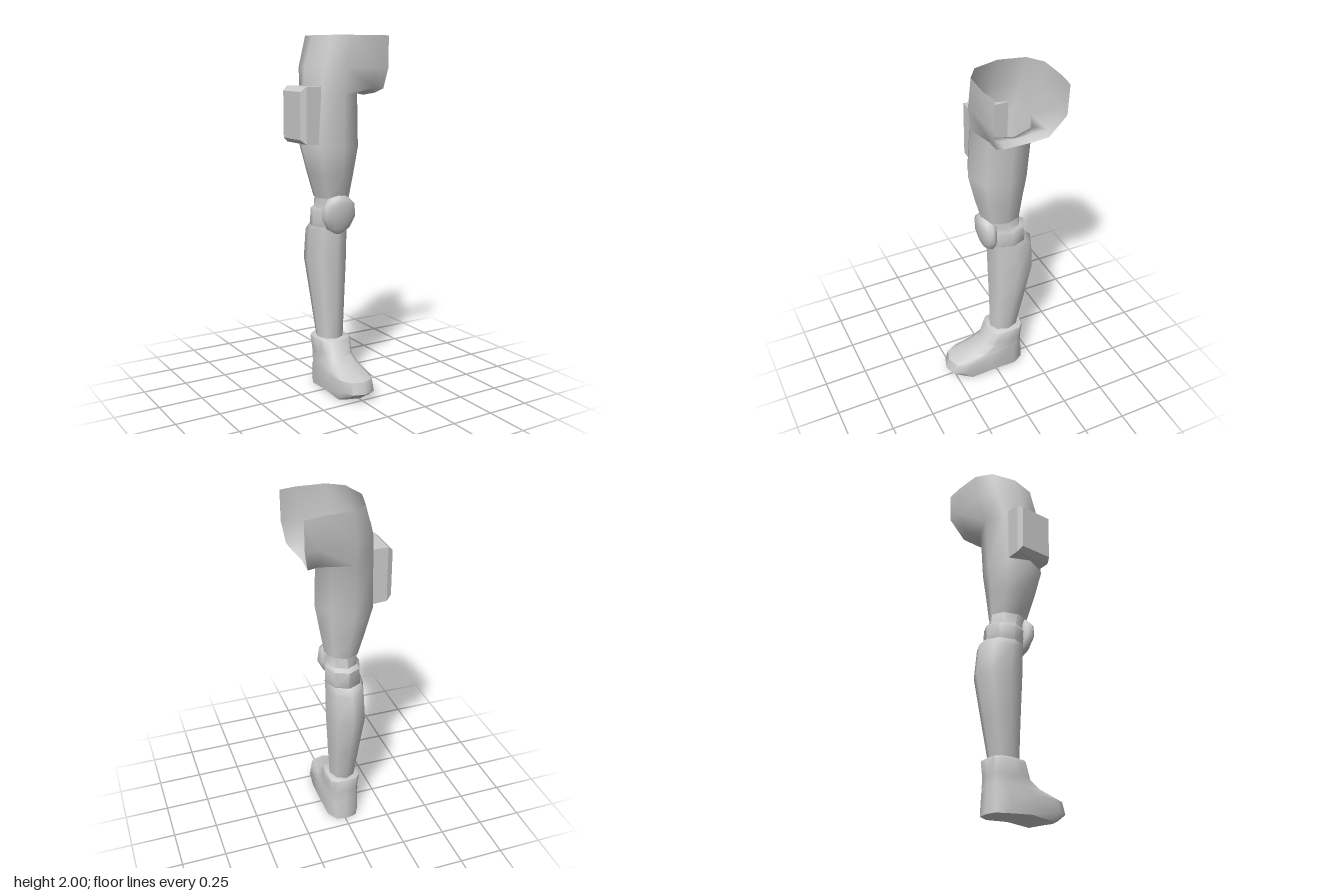
import * as THREE from 'three';
import { mergeGeometries, mergeVertices, toCreasedNormals } from 'three/addons/utils/BufferGeometryUtils.js';

const material = new THREE.MeshStandardMaterial({ color: 0xcccccc, side: THREE.DoubleSide });

// Elliptical ring between x0..x1 and z0..z1, counter-clockwise from the front
function ring([y, x0, x1, z0, z1], n = 8) {
  const points = [];
  for (let i = 0; i <= n; i++) {
    const t = ((i % n) / n) * Math.PI * 2;
    points.push([
      (x0 + x1) / 2 + ((x1 - x0) / 2) * Math.sin(t),
      y,
      (z0 + z1) / 2 + ((z1 - z0) / 2) * Math.cos(t),
    ]);
  }
  return points;
}

// Surface through rows of points of equal length
function skin(rows) {
  const n = rows[0].length;
  const index = [];
  for (let r = 0; r < rows.length - 1; r++) {
    for (let c = 0; c < n - 1; c++) {
      const a = r * n + c, b = a + 1, d = a + n, e = d + 1;
      index.push(a, b, e, a, e, d);
    }
  }
  const geometry = new THREE.BufferGeometry();
  geometry.setAttribute('position', new THREE.Float32BufferAttribute(rows.flat(2), 3));
  geometry.setIndex(index);
  return geometry;
}

// Row collapsed to its middle, used to close an end
function closed(row) {
  const open = row.slice(0, -1);
  const mid = [0, 1, 2].map((k) => open.reduce((sum, p) => sum + p[k], 0) / open.length);
  return row.map(() => mid);
}

function part(name, geometries, crease) {
  let geometry = mergeVertices(mergeGeometries([].concat(geometries)), 1e-4);
  if (crease) geometry = toCreasedNormals(geometry, crease);
  else geometry.computeVertexNormals();
  const mesh = new THREE.Mesh(geometry, material);
  mesh.name = name;
  return mesh;
}

// Thigh running up into a half hip that is open at the top and inner side
function thighAndHip() {
  const top = ring([1.69, -0.185, 0.13, -0.245, 0.105]);
  const thigh = skin([
    ring([1.115, -0.11, 0.083, -0.178, 0.05]),
    ring([1.25, -0.155, 0.105, -0.198, 0.085]),
    ring([1.4, -0.2, 0.13, -0.222, 0.117]),
    top,
  ]);
  const hipMid = ring([1.83, -0.167, 0.13, -0.287, 0.117]);
  const hipTop = ring([2, -0.112, 0.13, -0.295, 0.113]);
  const outer = skin([top, hipMid, hipTop].map((r) => r.slice(4)));

  // Inner flare: front panel, crotch, back panel
  const start = [hipTop[0], hipMid[0], ...top.slice(0, 5), hipMid[4], hipTop[4]];
  const middle = [
    [0.165, 2, 0.12], [0.165, 1.83, 0.119], [0.17, 1.72, 0.088],
    [0.165, 1.705, 0.03], [0.16, 1.695, -0.055], [0.165, 1.705, -0.14],
    [0.165, 1.71, -0.235], [0.17, 1.825, -0.297], [0.165, 2, -0.299],
  ];
  const edge = [
    [0.256, 2, 0.102], [0.253, 1.83, 0.108], [0.235, 1.715, 0.085],
    [0.215, 1.69, 0.03], [0.195, 1.675, -0.055], [0.203, 1.68, -0.14],
    [0.216, 1.695, -0.22], [0.253, 1.82, -0.296], [0.256, 1.99, -0.3],
  ];
  return part('thighAndHip', [thigh, outer, skin([start, middle, edge])]);
}

// Boot levels: y, heel z, toe z, half width
function boot() {
  const side = [[0, 0], [0.6, 0.03], [0.93, 0.17], [1, 0.5], [0.95, 0.82], [0.65, 0.955], [0, 1]];
  const level = ([y, z0, z1, w]) => {
    const at = ([u, f], s) => {
      const arch = y === 0 && f === 0.5 ? 0.012 : y === 0 && f > 0.9 ? 0.015 : 0;
      return [-0.009 + s * u * w, y + arch, z0 + (z1 - z0) * f];
    };
    const right = side.slice(1).reverse().map((p) => at(p, 1));
    const left = side.map((p) => at(p, -1));
    return [...right, ...left];
  };
  const rows = [
    [0, -0.198, 0.245, 0.102],
    [0.055, -0.197, 0.3, 0.106],
    [0.12, -0.193, 0.28, 0.104],
    [0.155, -0.19, 0.14, 0.096],
    [0.2, -0.188, 0.06, 0.09],
    [0.285, -0.195, 0.025, 0.098],
  ].map(level);
  const rim = level([0.292, -0.19, 0.018, 0.092]);
  return part('boot', skin([closed(rows[0]), ...rows, rim, closed(rim)]), 0.9);
}

// Holster box on the outer thigh, bevelled toward its outer face
function sideBox() {
  const frame = (x, y0, y1, z0, z1, lean = 0) => [
    [x - lean, y0, z0], [x - lean, y0, z1], [x, y1, z1], [x, y1, z0], [x - lean, y0, z0],
  ];
  const rows = [
    frame(-0.14, 1.42, 1.73, -0.17, 0.05, 0.012),
    frame(-0.23, 1.425, 1.73, -0.17, 0.05),
    frame(-0.26, 1.45, 1.705, -0.155, 0.035),
  ].map((r) => r.reverse());
  rows.reverse();
  const faces = [closed(rows[0]), ...rows, closed(rows[2])].map((r) => [...r].reverse());
  return part('sideBox', skin(faces.reverse()), 0.4);
}

export function createModel() {
  const group = new THREE.Group();
  group.name = 'leg';
  group.add(thighAndHip(), sideBox(), boot());

  // Knee sleeve with a raised band
  group.add(part('kneeSleeve', skin([
    [0.92, -0.1, 0.075, -0.19, 0.0],
    [0.95, -0.115, 0.09, -0.213, 0.02],
    [1.04, -0.112, 0.088, -0.21, 0.03],
    [1.056, -0.1, 0.075, -0.182, 0.03],
    [1.14, -0.1, 0.075, -0.172, 0.04],
  ].map((r) => ring(r))), 0.8));

  // Domed knee cap
  const cap = [
    [0.915, -0.035, 0.005, -0.01, 0.035],
    [0.945, -0.088, 0.058, -0.02, 0.052],
    [1.01, -0.124, 0.094, -0.025, 0.07],
    [1.08, -0.115, 0.085, -0.025, 0.076],
    [1.115, -0.08, 0.05, -0.02, 0.068],
    [1.137, -0.035, 0.005, -0.01, 0.05],
  ].map((r) => ring(r, 12));
  group.add(part('kneeCap', skin([closed(cap[0]), ...cap, closed(cap[5])])));

  // Shin with the calf bulging at the back
  group.add(part('shin', skin([
    [0.275, -0.086, 0.062, -0.172, 0.0],
    [0.5, -0.107, 0.08, -0.222, 0.005],
    [0.74, -0.13, 0.098, -0.276, 0.013],
    [0.91, -0.125, 0.096, -0.258, 0.02],
    [0.95, -0.117, 0.092, -0.218, 0.022],
  ].map((r) => ring(r)))));

  return group;
}
